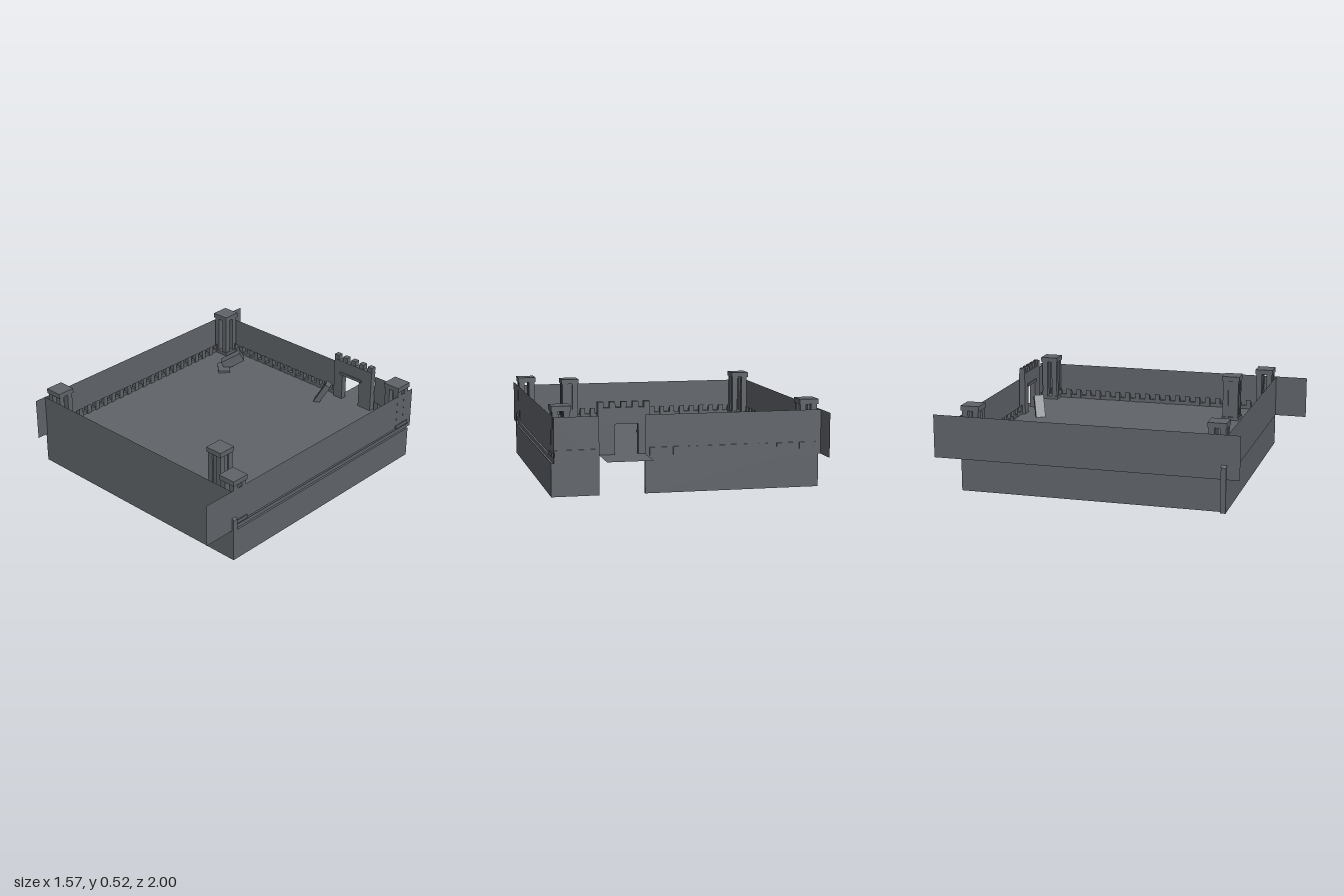
import * as THREE from 'three';

const FLOOR = 0.225, WALL_LOW = 0.19, WALL_TOP = 0.445;
const X0 = -0.763, X1 = 0.78, Z0 = -0.763, Z1 = 0.8;

export function createModel() {
  const root = new THREE.Group();
  root.name = 'courtyard';
  const stone = new THREE.MeshStandardMaterial({ color: 0x606469, side: THREE.DoubleSide });
  stone.name = 'grey stone';

  const add = (name, geometry, parent = root) => {
    const mesh = new THREE.Mesh(geometry, stone);
    mesh.name = name;
    parent.add(mesh);
    return mesh;
  };
  // Box given by its two corners
  const box = (name, a, b, parent) => {
    const mesh = add(name, new THREE.BoxGeometry(b[0] - a[0], b[1] - a[1], b[2] - a[2]), parent);
    mesh.position.set((a[0] + b[0]) / 2, (a[1] + b[1]) / 2, (a[2] + b[2]) / 2);
    return mesh;
  };
  // Thin upright sheet between two ground points
  const sheet = (name, xa, za, xb, zb) => {
    const mesh = add(name, new THREE.PlaneGeometry(Math.hypot(xb - xa, zb - za), WALL_TOP - WALL_LOW));
    mesh.position.set((xa + xb) / 2, (WALL_TOP + WALL_LOW) / 2, (za + zb) / 2);
    mesh.rotation.y = Math.atan2(za - zb, xb - xa);
  };
  const slab = (name, xa, za, xb, zb) => {
    const mesh = add(name, new THREE.PlaneGeometry(xb - xa, zb - za));
    mesh.rotation.x = -Math.PI / 2;
    mesh.position.set((xa + xb) / 2, FLOOR, (za + zb) / 2);
  };

  // Floor and the landing outside the gate
  slab('floor', X0, Z0, X1, Z1);
  slab('gateLanding', 0.25, -1, 0.51, Z0);

  // Hollow foundation, open at the gate
  const T = 0.025;
  box('foundationFront', [X0, 0, Z1 - T], [X1, FLOOR, Z1]);
  box('foundationRight', [X0, 0, Z0], [X0 + T, FLOOR, Z1 - T]);
  box('foundationLeft', [X1 - T, 0, Z0], [X1, WALL_LOW, Z1 - T]);
  box('foundationBackLong', [X0 + T, 0, Z0], [0.25, FLOOR, Z0 + T]);
  box('foundationBackShort', [0.51, 0, Z0], [X1 - T, FLOOR, Z0 + T]);

  // Upper walls, the side ones overshooting the corners
  sheet('wallFront', -0.775, Z1 + 0.003, 0.765, Z1 + 0.003);
  sheet('wallLeft', 0.768, 1, 0.768, -0.8);
  sheet('wallRight', -0.775, 0.875, -0.775, -0.925);
  sheet('wallBackLong', -0.775, Z0 - 0.003, 0.25, Z0 - 0.003);
  sheet('wallBackShort', 0.51, Z0 - 0.003, 0.768, Z0 - 0.003);

  // Palisade posts whose slanted tops rise inwards
  const S = 0.03;
  const post = (x, z, nx, nz, bottom = FLOOR - 0.01) => {
    const top = 0.285, g = new THREE.BoxGeometry(S, top - bottom, S);
    const p = g.attributes.position;
    for (let i = 0; i < p.count; i++) {
      if (p.getY(i) > 0 && p.getX(i) * nx + p.getZ(i) * nz > 0) p.setY(i, p.getY(i) - 0.025);
    }
    const flat = g.toNonIndexed();
    flat.computeVertexNormals();
    add('palisadePost', flat).position.set(x, (top + bottom) / 2, z);
  };
  const COUNT = 23;
  for (let i = 0; i < COUNT; i++) {
    const t = (i + 0.5) / COUNT;
    const x = X0 + (X1 - X0) * t, z = Z0 + (Z1 - Z0) * t;
    post(x, Z1 - S / 2, 0, 1);
    if (x < 0.21 || x > 0.53) post(x, Z0 + S / 2 - 0.005, 0, -1);
    post(X0 + S / 2, z, -1, 0);
    post(X1 - S / 2 - 0.013, z, 1, 0);
  }
  post(-0.775, Z1 - S / 2, -1, 0, 0);
  post(X1 - S / 2, Z1 - S / 2, 1, 0, 0);

  // Low rails that tie the posts together
  box('railFront', [X0, FLOOR, Z1 - 0.022], [X1, 0.245, Z1 - 0.003]);
  box('railBack', [X0, FLOOR, Z0 + 0.003], [0.22, 0.245, Z0 + 0.022]);
  box('railRight', [X0 + 0.003, FLOOR, Z0], [X0 + 0.022, 0.245, Z1]);
  box('railLeft', [0.745, FLOOR, Z0], [0.764, 0.245, Z1]);

  // Pillars: plinth, four shafts and a cap
  const pillar = (name, x, z, core) => {
    const g = new THREE.Group();
    g.name = name;
    g.position.set(x, 0, z);
    root.add(g);
    box('plinth', [-0.055, FLOOR - 0.003, -0.055], [0.055, 0.245, 0.055], g);
    for (const sx of [-1, 1]) for (const sz of [-1, 1]) {
      const cx = sx * 0.032, cz = sz * 0.032;
      box('shaft', [cx - 0.017, 0.245, cz - 0.017], [cx + 0.017, 0.475, cz + 0.017], g);
    }
    if (core) box('core', [-0.04, 0.245, -0.04], [0.04, 0.475, 0.04], g);
    box('cap', [-0.055, 0.475, -0.055], [0.055, 0.505, 0.055], g);
  };
  for (const x of [-0.705, 0.72]) for (const z of [-0.705, 0.74]) pillar('cornerPillar', x, z, false);
  pillar('innerPillar', 0.465, 0.575, true);

  // Gate with an opening and battlements
  const gate = new THREE.Group();
  gate.name = 'gate';
  root.add(gate);
  box('jambRight', [0.222, FLOOR, -0.757], [0.288, 0.395, -0.72], gate);
  box('jambLeft', [0.42, FLOOR, -0.757], [0.515, 0.395, -0.72], gate);
  box('lintel', [0.222, 0.395, -0.757], [0.515, 0.488, -0.72], gate);
  for (let i = 0; i < 5; i++) {
    const x = 0.222 + i * 0.065;
    box('merlon', [x, 0.488, -0.755], [x + 0.033, 0.52, -0.722], gate);
  }
  box('doorMoulding', [0.27, 0.395, -0.72], [0.44, 0.412, -0.712], gate);

  // Fallen blocks lying about the yard
  const rubble = (size, pos, yaw, tilt) => {
    const m = add('fallenBlock', new THREE.BoxGeometry(...size));
    m.position.set(...pos);
    m.rotation.set(0, yaw, tilt, 'YXZ');
  };
  rubble([0.14, 0.06, 0.06], [-0.515, 0.275, -0.57], 0.75, 0.5);
  rubble([0.13, 0.05, 0.075], [-0.54, 0.21, -0.51], -0.75, 0.04);
  rubble([0.15, 0.035, 0.06], [0.213, 0.28, -0.62], 0.5, 1.05);

  return root;
}
